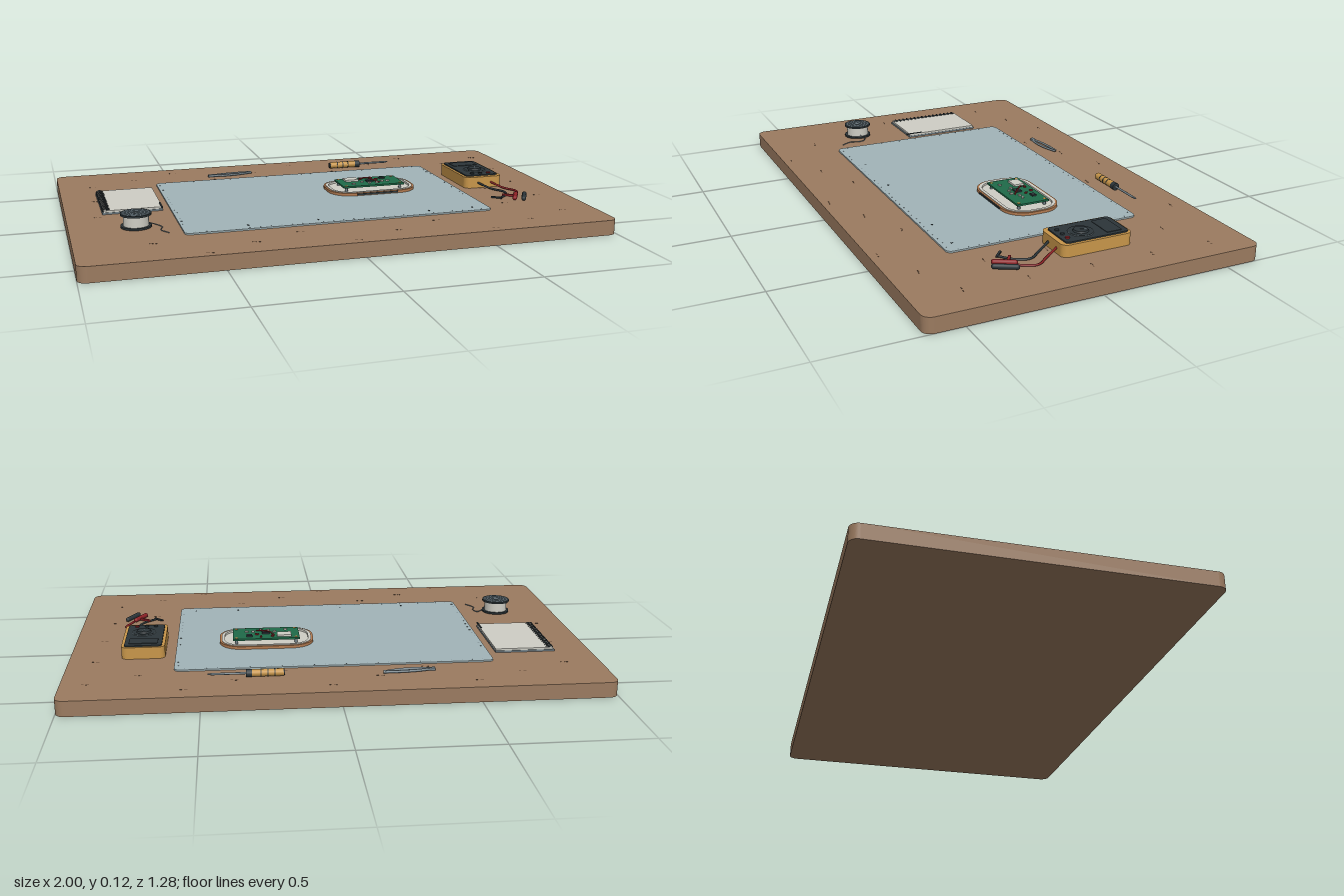
import * as THREE from 'three';

const mat = (name, color) => Object.assign(new THREE.MeshStandardMaterial({ color }), { name });

export function createModel() {
  const wood = mat('wood', 0x9b7b60), blue = mat('mat blue', 0xa2b4b8), paper = mat('paper', 0xcfcec5);
  const dark = mat('charcoal', 0x2c3539), amber = mat('amber', 0xc8964a), green = mat('board green', 0x1f6b49);
  const red = mat('red', 0x8e2226), steel = mat('steel', 0x75838a), copper = mat('copper', 0xb27a50);
  const grain = mat('wood grain', 0x5f4734);
  const model = new THREE.Group();
  const TOP = 0.058, MAT = 0.064;

  const group = (name, parent = model) => {
    const g = new THREE.Group();
    g.name = name;
    parent.add(g);
    return g;
  };
  const add = (parent, name, geo, material, x = 0, y = 0, z = 0) => {
    const m = new THREE.Mesh(geo, material);
    m.name = name;
    m.position.set(x, y, z);
    parent.add(m);
    return m;
  };
  const rounded = (path, w, d, r) => {
    const x = w / 2, y = d / 2;
    path.moveTo(-x + r, -y).lineTo(x - r, -y).absarc(x - r, -y + r, r, -Math.PI / 2, 0);
    path.absarc(x - r, y - r, r, 0, Math.PI / 2).absarc(-x + r, y - r, r, Math.PI / 2, Math.PI);
    path.absarc(-x + r, -y + r, r, Math.PI, Math.PI * 1.5);
    return path;
  };
  // Flat slab with rounded plan corners; a wall thickness turns it into a ring
  const slab = (parent, name, material, x, z, w, d, y0, y1, r, wall = 0) => {
    const s = rounded(new THREE.Shape(), w, d, r);
    if (wall) s.holes.push(rounded(new THREE.Path(), w - 2 * wall, d - 2 * wall, r - wall));
    const geo = new THREE.ExtrudeGeometry(s, { depth: y1 - y0, bevelEnabled: false, curveSegments: 10 });
    return add(parent, name, geo.rotateX(-Math.PI / 2), material, x, y0, z);
  };
  const box = (parent, name, material, x, y, z, w, h, d, turn = 0) => {
    const m = add(parent, name, new THREE.BoxGeometry(w, h, d), material, x, y, z);
    m.rotation.y = turn;
    return m;
  };
  const disc = (parent, name, material, x, y, z, r, h, n = 24, r2 = r) =>
    add(parent, name, new THREE.CylinderGeometry(r2, r, h, n), material, x, y, z);
  const wire = (parent, name, material, pts, r) => add(parent, name, new THREE.TubeGeometry(
    new THREE.CatmullRomCurve3(pts.map(p => new THREE.Vector3(...p))), 32, r, 6), material);

  // Worktop with short grain marks
  const bench = group('worktop');
  slab(bench, 'worktopBoard', wood, 0, 0, 2, 1.28, 0, TOP, 0.035);
  for (let row = 0; row < 16; row++) {
    const z = -0.57 + row * 0.0785;
    for (let i = 0; i < 4; i++) {
      const x = -0.9 + ((i * 0.53 + 0.39 + row * 0.35) % 2.12);
      if (x > 0.95 || (Math.abs(x) < 0.64 && Math.abs(z) < 0.4)) continue;
      box(bench, 'grainMark', grain, x, TOP, z, 0.012, 0.001, 0.004);
      box(bench, 'grainMark', grain, x + 0.018, TOP, z + 0.003, 0.008, 0.001, 0.004);
    }
  }

  // Work mat with edge ticks
  const workMat = group('workMat');
  slab(workMat, 'matSheet', blue, 0, 0, 1.2, 0.77, TOP, MAT, 0.022);
  for (const s of [-1, 1]) {
    for (let i = 0; i < 29; i++) box(workMat, 'matTick', steel, -0.56 + i * 0.04, MAT, s * 0.372, 0.002, 0.001, 0.007);
    for (let i = 0; i < 18; i++) box(workMat, 'matTick', steel, s * 0.587, MAT, -0.34 + i * 0.04, 0.007, 0.001, 0.002);
  }
  for (const x of [-0.09, -0.36, 0.355, 0.535]) box(workMat, 'matMark', dark, x, MAT, 0.34, 0.006, 0.002, 0.008);

  // Rounded tray holding the circuit board
  const tray = group('tray');
  slab(tray, 'trayFloor', paper, 0.247, -0.064, 0.366, 0.226, MAT, 0.069, 0.088);
  slab(tray, 'trayRim', copper, 0.247, -0.064, 0.37, 0.23, MAT, 0.075, 0.09, 0.008);
  slab(tray, 'trayLip', paper, 0.247, -0.064, 0.354, 0.214, 0.068, 0.077, 0.082, 0.012);
  box(tray, 'traySlot', dark, 0.247, 0.07, 0.052, 0.175, 0.006, 0.006);

  // Circuit board with its parts
  const pcb = group('circuitBoard');
  box(pcb, 'boardPlate', green, 0.249, 0.088, -0.067, 0.262, 0.007, 0.135);
  for (const x of [0.132, 0.366]) for (const z of [-0.122, -0.012]) {
    disc(pcb, 'standoff', steel, x, 0.077, z, 0.006, 0.017, 10);
    disc(pcb, 'boardScrew', amber, x, 0.092, z, 0.006, 0.002, 12);
  }
  box(pcb, 'metalShield', paper, 0.178, 0.095, -0.097, 0.056, 0.008, 0.042);
  box(pcb, 'chip', dark, 0.25, 0.094, -0.065, 0.03, 0.006, 0.026);
  box(pcb, 'chip', dark, 0.315, 0.094, -0.1, 0.022, 0.006, 0.018);
  [[0.225, -0.11], [0.24, -0.035], [0.27, -0.03], [0.285, -0.085], [0.3, -0.05], [0.215, -0.055],
    [0.27, -0.115], [0.325, -0.05], [0.17, -0.03]].forEach(([x, z], i) =>
    box(pcb, 'smallPart', i % 3 ? paper : red, x, 0.094, z, 0.012, 0.005, 0.008, i * 0.8));
  wire(pcb, 'redJumper', red, [[0.215, 0.092, -0.1], [0.235, 0.103, -0.085], [0.26, 0.1, -0.06], [0.285, 0.092, -0.035]], 0.003);

  // Meter with dial
  const meter = group('meter');
  slab(meter, 'meterBody', amber, 0.722, -0.095, 0.165, 0.28, TOP, 0.104, 0.025);
  slab(meter, 'meterFace', dark, 0.722, -0.1, 0.142, 0.252, 0.104, 0.109, 0.014);
  slab(meter, 'meterScreen', dark, 0.722, -0.175, 0.11, 0.06, 0.109, 0.111, 0.005);
  disc(meter, 'dialRing', steel, 0.728, 0.11, -0.067, 0.047, 0.002, 32);
  disc(meter, 'dialPlate', dark, 0.728, 0.1105, -0.067, 0.045, 0.003, 32);
  disc(meter, 'dialKnob', dark, 0.728, 0.114, -0.067, 0.03, 0.009, 24, 0.026);
  box(meter, 'dialPointer', steel, 0.732, 0.119, -0.074, 0.003, 0.001, 0.022, -0.5);
  for (const x of [0.685, 0.722, 0.759]) disc(meter, 'jack', x > 0.75 ? red : dark, x, 0.111, 0.004, 0.008, 0.005, 14);

  // Test leads and clips
  const leads = group('testLeads');
  const lead = (name, m, pts, from, to) => {
    wire(leads, name + 'Wire', m, pts, 0.0045);
    const a = new THREE.Vector3(...from), b = new THREE.Vector3(...to);
    const clip = add(leads, name + 'Clip', new THREE.CapsuleGeometry(0.0095, a.distanceTo(b) - 0.019, 4, 10), m);
    clip.position.copy(a).lerp(b, 0.5);
    clip.quaternion.setFromUnitVectors(new THREE.Vector3(0, 1, 0), b.sub(a).normalize());
  };
  lead('black', dark, [[0.695, 0.08, 0.04], [0.73, 0.066, 0.1], [0.764, 0.063, 0.15], [0.748, 0.063, 0.2], [0.7, 0.064, 0.245]],
    [0.775, 0.07, 0.305], [0.822, 0.07, 0.22]);
  lead('red', red, [[0.752, 0.08, 0.04], [0.785, 0.066, 0.1], [0.818, 0.063, 0.15], [0.8, 0.063, 0.2], [0.785, 0.066, 0.225]],
    [0.743, 0.07, 0.29], [0.788, 0.07, 0.21]);
  box(leads, 'blackTip', dark, 0.69, 0.065, 0.235, 0.045, 0.006, 0.008, -0.75);
  box(leads, 'redTip', red, 0.748, 0.068, 0.225, 0.05, 0.008, 0.01, -0.6);

  // Spiral notebook
  const book = group('notebook');
  box(book, 'bookCover', steel, -0.745, 0.062, -0.13, 0.232, 0.007, 0.322);
  box(book, 'bookPages', paper, -0.743, 0.069, -0.13, 0.226, 0.008, 0.316);
  box(book, 'bookBinding', dark, -0.842, 0.0735, -0.13, 0.008, 0.002, 0.31);
  for (let i = 0; i < 16; i++) {
    const ring = add(book, 'bindingRing', new THREE.TorusGeometry(0.0085, 0.002, 6, 14), dark, -0.845, 0.069, -0.275 + i * 0.0193);
    ring.scale.x = 1.5;
  }
  box(book, 'bookClasp', dark, -0.633, 0.074, 0.007, 0.006, 0.004, 0.075);

  // Solder spool with loose strand
  const spool = group('spool');
  const flange = y => disc(spool, 'spoolFlange', dark, -0.757, y, 0.236, 0.057, 0.007, 36);
  flange(0.0655);
  flange(0.112);
  disc(spool, 'spoolWinding', paper, -0.757, 0.089, 0.236, 0.047, 0.041, 32);
  for (const r of [0.02, 0.033, 0.045]) {
    add(spool, 'flangeRing', new THREE.RingGeometry(r, r + 0.002, 32).rotateX(-Math.PI / 2), steel, -0.757, 0.1162, 0.236);
  }
  disc(spool, 'spoolHub', steel, -0.757, 0.116, 0.236, 0.009, 0.002, 18);
  wire(spool, 'looseStrand', steel, [[-0.71, 0.075, 0.24], [-0.68, 0.062, 0.23], [-0.665, 0.061, 0.26],
    [-0.675, 0.061, 0.3], [-0.65, 0.061, 0.345]], 0.002);

  // Screwdriver, lying along x
  const driver = group('screwdriver');
  driver.position.set(0.2, 0.073, -0.463);
  const rod = (name, m, x0, x1, r, n = 14) =>
    add(driver, name, new THREE.CylinderGeometry(r, r, x1 - x0, n).rotateZ(-Math.PI / 2), m, (x0 + x1) / 2);
  rod('driverHandle', amber, 0, 0.115, 0.014, 12);
  rod('driverCap', dark, -0.004, 0.004, 0.012);
  for (const x of [0.03, 0.055, 0.08]) rod('handleBand', dark, x, x + 0.004, 0.0147);
  rod('driverCollar', dark, 0.115, 0.136, 0.015);
  rod('driverShaft', steel, 0.136, 0.265, 0.0042);
  add(driver, 'driverTip', new THREE.BoxGeometry(0.014, 0.003, 0.009), steel, 0.268);

  // Tweezers, two arms meeting at one end
  const tweezers = group('tweezers');
  for (const s of [-1, 1]) {
    wire(tweezers, 'tweezerArm', steel, [[-0.355, 0.064, -0.455], [-0.3, 0.064, -0.458 + s * 0.011],
      [-0.24, 0.064, -0.463 + s * 0.012], [-0.165, 0.064, -0.473 + s * 0.003]], 0.005);
  }
  box(tweezers, 'tweezerHeel', steel, -0.345, 0.064, -0.456, 0.03, 0.01, 0.012, 0.07);
  return model;
}
